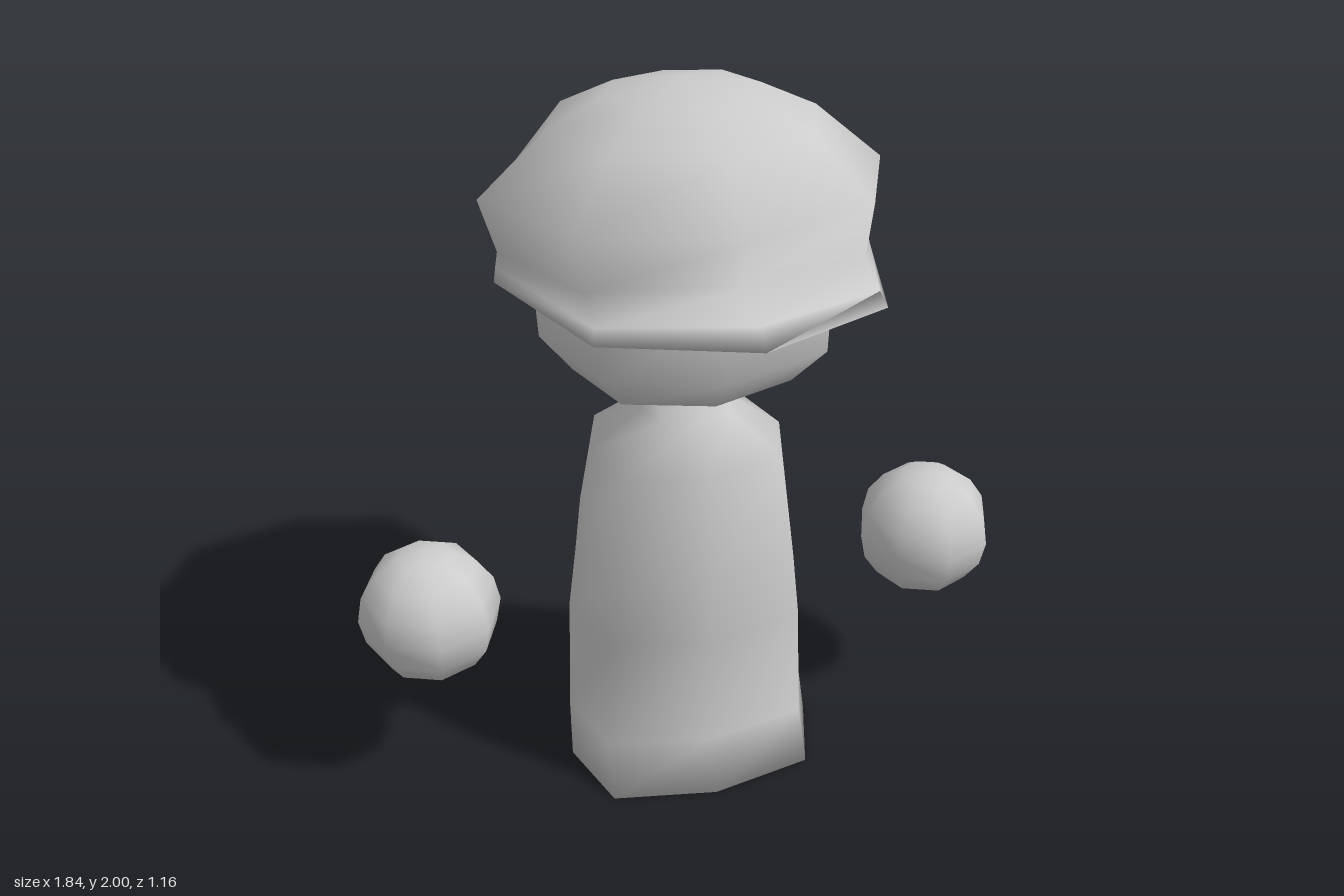
import * as THREE from 'three';

const material = new THREE.MeshStandardMaterial({ color: 0xcccccc });

// Skin eight-point rings, listed bottom to top, and close both ends at a centre point
function loft(name, rings, bottom, top) {
  const n = rings[0].length;
  const points = [...rings.flat(), bottom, top];
  const b = rings.length * n, t = b + 1, index = [];
  for (let j = 0; j < n; j++) {
    const k = (j + 1) % n;
    index.push(b, k, j);
    for (let i = 0; i < rings.length - 1; i++) {
      const lo = i * n, hi = lo + n;
      index.push(lo + j, lo + k, hi + k, lo + j, hi + k, hi + j);
    }
    index.push(b - n + j, b - n + k, t);
  }
  const geometry = new THREE.BufferGeometry();
  geometry.setAttribute('position', new THREE.Float32BufferAttribute(points.flat(), 3));
  geometry.setIndex(index);
  geometry.computeVertexNormals();
  const mesh = new THREE.Mesh(geometry, material);
  mesh.name = name;
  return mesh;
}

// Octagonal ring from height, half width, front z and back z; d sets how full the corners are
function octagon([y, w, front, back], d) {
  const c = (front + back) / 2, r = (front - back) / 2;
  return Array.from({ length: 8 }, (_, i) => {
    const a = (i * Math.PI) / 4, f = i % 2 ? d / Math.SQRT1_2 : 1;
    return [w * Math.sin(a) * f, y, c + r * Math.cos(a) * f];
  });
}

// Five points on the left side, front to back, mirrored into a full ring
function mirrored(half) {
  return [...half, ...half.slice(1, 4).reverse().map(([x, y, z]) => [-x, y, z])];
}

export function createModel() {
  const model = new THREE.Group();

  // Body with neck: y, half width, front z, back z
  const body = [
    [0, 0.36, 0.25, -0.305],
    [0.15, 0.352, 0.19, -0.34],
    [0.5, 0.335, 0.195, -0.38],
    [0.7, 0.31, 0.19, -0.365],
    [1.01, 0.265, 0.155, -0.285],
    [1.12, 0.12, 0.055, -0.18],
    [1.22, 0.12, 0.04, -0.17],
  ];
  model.add(loft('body', body.map((r) => octagon(r, 0.8)), [0, 0, -0.03], [0, 1.22, -0.065]));

  // Head, its top hidden inside the cap
  const head = [
    [1.18, 0.12, 0.05, -0.18],
    [1.255, 0.3, 0.21, -0.36],
    [1.37, 0.385, 0.315, -0.44],
    [1.56, 0.395, 0.315, -0.45],
    [1.68, 0.34, 0.26, -0.4],
  ];
  model.add(loft('head', head.map((r) => octagon(r, 0.74)), [0, 1.17, -0.065], [0, 1.75, -0.07]));

  // Cap: underside, peak and rim, then the overhanging crown
  const cap = [
    [[0, 1.56, 0.3], [0.28, 1.555, 0.2], [0.39, 1.545, -0.07], [0.28, 1.535, -0.33], [0, 1.53, -0.44]],
    [[0, 1.595, 0.58], [0.35, 1.58, 0.42], [0.488, 1.53, -0.07], [0.33, 1.515, -0.43], [0, 1.51, -0.53]],
    [[0, 1.64, 0.54], [0.34, 1.61, 0.39], [0.482, 1.57, -0.07], [0.335, 1.55, -0.435], [0, 1.545, -0.533]],
    [[0, 1.675, 0.41], [0.34, 1.65, 0.29], [0.475, 1.61, -0.07], [0.34, 1.585, -0.44], [0, 1.58, -0.535]],
    [[0, 1.79, 0.435], [0.36, 1.78, 0.28], [0.515, 1.75, -0.07], [0.345, 1.68, -0.48], [0, 1.66, -0.58]],
    [[0, 1.92, 0.27], [0.25, 1.915, 0.17], [0.34, 1.9, -0.08], [0.25, 1.88, -0.33], [0, 1.87, -0.42]],
    [[0, 1.98, 0.1], [0.14, 1.975, 0.05], [0.2, 1.965, -0.09], [0.14, 1.96, -0.22], [0, 1.955, -0.27]],
  ];
  model.add(loft('cap', cap.map(mirrored), [0, 1.56, -0.07], [0, 2, -0.09]));

  // Floating hands
  for (const [name, side] of [['leftHand', 1], ['rightHand', -1]]) {
    const hand = new THREE.Mesh(new THREE.SphereGeometry(0.195, 8, 8), material);
    hand.name = name;
    hand.position.set(side * 0.727, 0.575, -0.068);
    model.add(hand);
  }
  return model;
}
